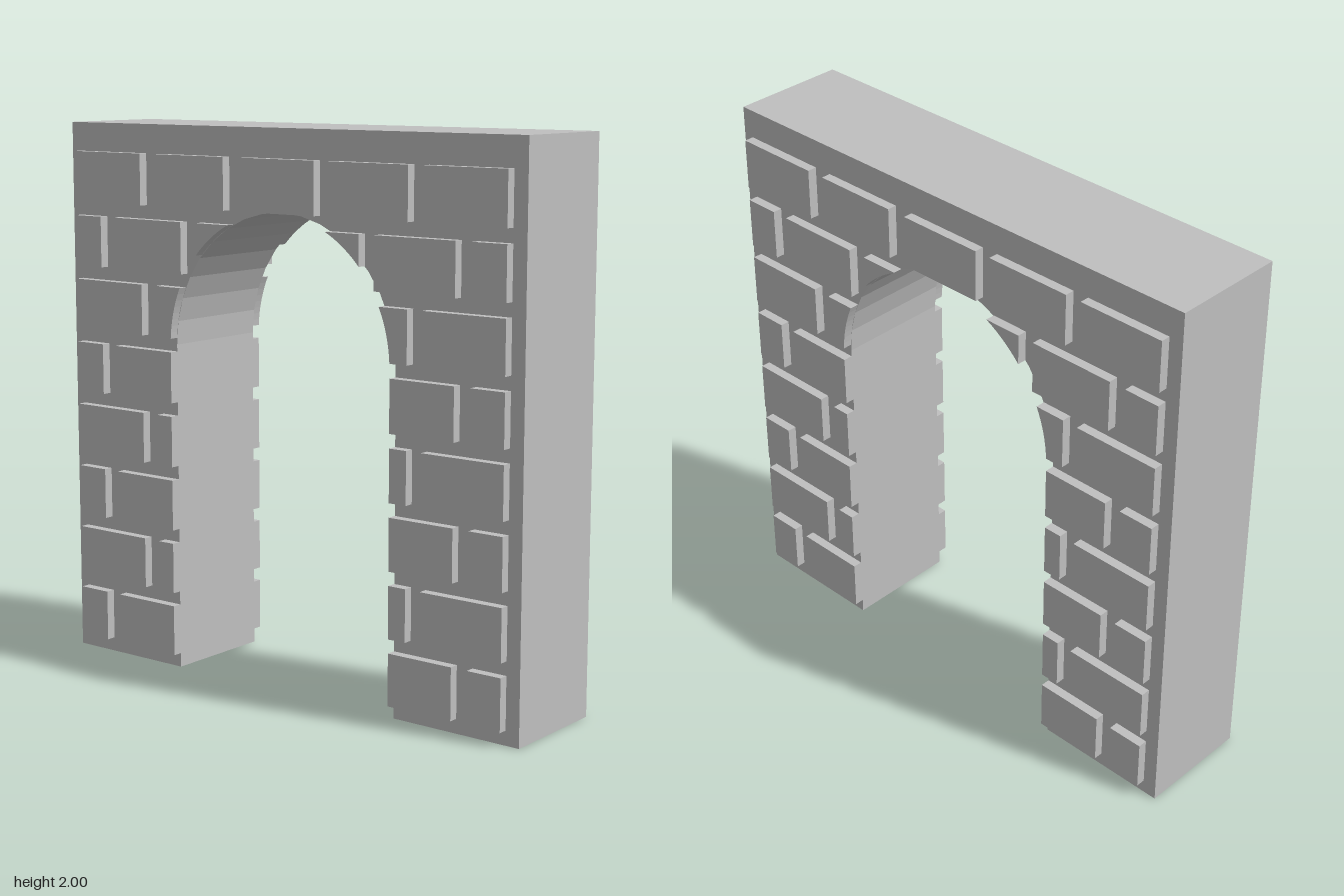
import * as THREE from 'three';

const HALF = 0.2125;               // half thickness of the wall
const OPEN = 0.49, SPRING = 1.21, RISE = 0.5; // arch opening

// half width of the opening at height y, and the height at which it has a given half width
const openAt = (y) => {
  if (y <= SPRING) return OPEN;
  const t = (y - SPRING) / RISE;
  return t >= 1 ? 0 : OPEN * Math.sqrt(1 - t * t);
};
const heightAt = (u) => SPRING + RISE * Math.sqrt(1 - (u / OPEN) ** 2);

// extrude an outline (u across, y up) along x
function slab(points, depth, x0, material, name) {
  const g = new THREE.ExtrudeGeometry(new THREE.Shape(points), { depth, bevelEnabled: false });
  g.rotateY(Math.PI / 2).translate(x0, 0, 0);
  const m = new THREE.Mesh(g, material);
  m.name = name;
  return m;
}

// outline of one block, trimmed by the arch opening; null when nothing is left
function blockOutline(a, b, y0, y1) {
  const V = (u, y) => new THREE.Vector2(u, y);
  if (y0 >= SPRING + RISE - 0.01) return [V(a, y0), V(b, y0), V(b, y1), V(a, y1)];
  const side = a + b > 0 ? 1 : -1;
  const inner = Math.min(Math.abs(a), Math.abs(b));
  const outer = Math.max(Math.abs(a), Math.abs(b));
  if (openAt(y1) >= outer) return null;
  const start = openAt(y0) > outer ? heightAt(outer) : y0;
  const pts = [];
  if (start === y0) pts.push(V(side * outer, y0));
  pts.push(V(side * outer, y1));
  const steps = 8;
  for (let i = steps; i >= 0; i--) {
    const y = start + (y1 - start) * i / steps;
    pts.push(V(side * Math.min(outer, Math.max(inner, openAt(y))), y));
  }
  return pts;
}

export function createModel() {
  const model = new THREE.Group();
  model.name = 'stoneArchway';
  const stone = new THREE.MeshStandardMaterial({ color: 0xbfbfbf });
  stone.name = 'grey stone';

  // wall with arched opening
  const outline = [[-OPEN, 0], [-1, 0], [-1, 2], [1, 2], [1, 0], [OPEN, 0]]
    .map(([u, y]) => new THREE.Vector2(u, y));
  const segments = 18;
  for (let i = 0; i <= segments; i++) {
    const t = Math.PI * i / segments;
    outline.push(new THREE.Vector2(OPEN * Math.cos(t), SPRING + RISE * Math.sin(t)));
  }
  model.add(slab(outline, HALF * 2, -HALF, stone, 'wall'));

  // raised blocks in two alternating courses
  const courses = [
    [[-0.96, -0.83], [-0.765, -0.437], [-0.365, -0.04], [0.03, 0.36], [0.423, 0.75], [0.813, 0.947]],
    [[-0.96, -0.63], [-0.56, -0.235], [-0.16, 0.168], [0.23, 0.56], [0.62, 0.947]],
  ];
  for (const [name, turn] of [['leftBlocks', 0], ['rightBlocks', Math.PI]]) {
    const face = new THREE.Group();
    face.name = name;
    for (let row = 0; row < 8; row++) {
      const y0 = 0.052 + row * 0.2366;
      for (const [a, b] of courses[row % 2]) {
        const pts = blockOutline(a, b, y0, y0 + 0.187);
        if (pts) face.add(slab(pts, 0.035, HALF, stone, 'block'));
      }
    }
    face.rotation.y = turn;
    model.add(face);
  }
  return model;
}
